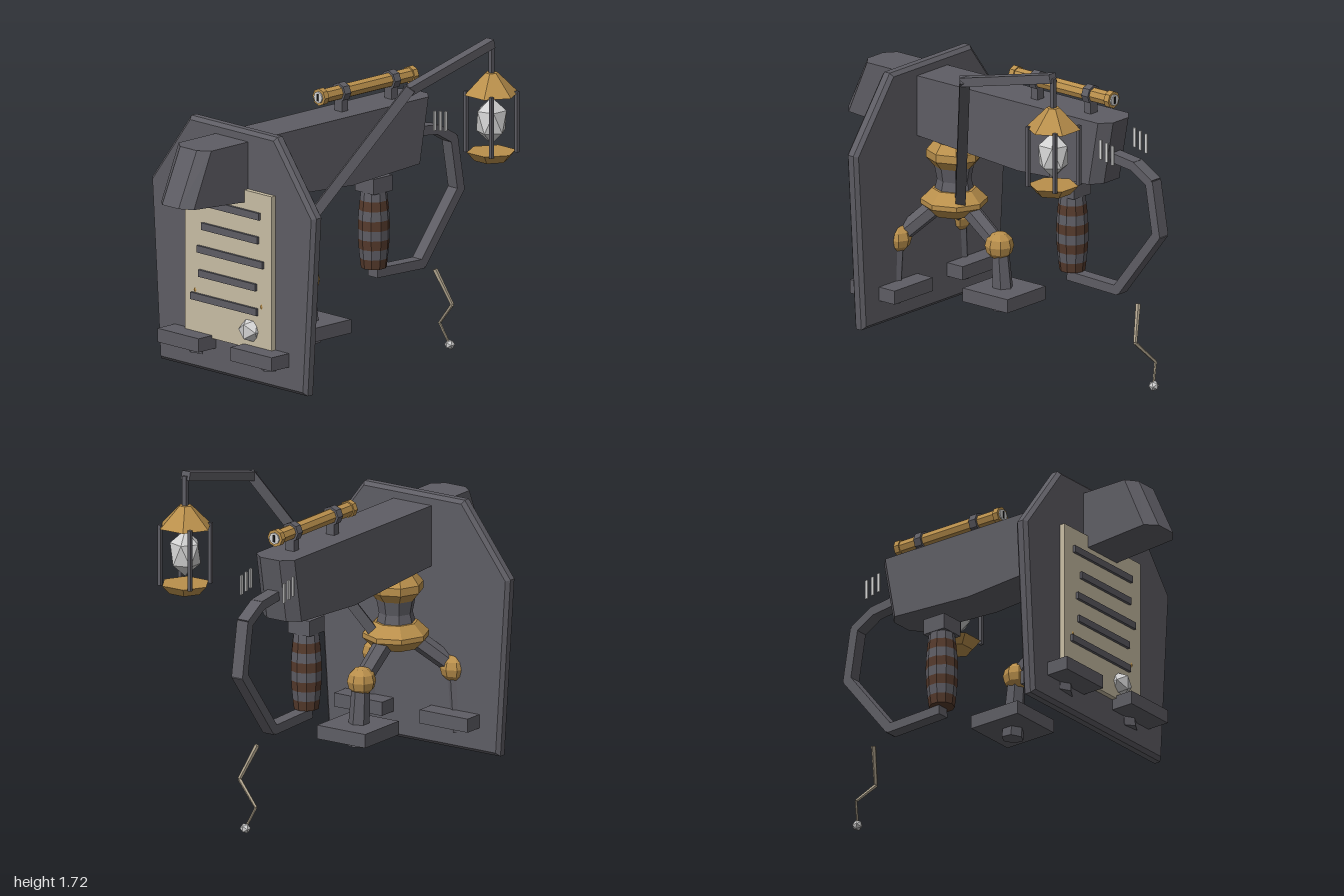
import * as THREE from 'three';

const mat = (name, color) => {
  const m = new THREE.MeshStandardMaterial({ color, flatShading: true });
  m.name = name;
  return m;
};

export function createModel() {
  const iron = mat('dark iron', 0x5e5d64);
  const brass = mat('brass', 0xba904c);
  const parchment = mat('parchment', 0xc8bda4);
  const crystal = mat('pale crystal', 0xd2d2d2);
  const leather = mat('brown leather', 0x553a2c);
  const bone = mat('bone', 0xb0a48e);
  const black = mat('black', 0x1c1c1e);

  const model = new THREE.Group();
  model.name = 'shieldedTurret';
  const CX = -0.037; // centre line of the weapon
  const V = (x, y, z) => new THREE.Vector3(x, y, z);

  const add = (name, geo, m, x = 0, y = 0, z = 0) => {
    const mesh = new THREE.Mesh(geo, m);
    mesh.name = name;
    mesh.position.set(x, y, z);
    model.add(mesh);
    return mesh;
  };
  const box = (name, m, w, h, d, x, y, z) => add(name, new THREE.BoxGeometry(w, h, d), m, x, y, z);

  // square beam between two points, extended a little to close the joints
  const beam = (name, a, b, w, h, m, extra = 0.01) => {
    const o = box(name, m, w, h, a.distanceTo(b) + extra * 2, 0, 0, 0);
    o.position.copy(a).lerp(b, 0.5);
    o.lookAt(b);
    return o;
  };
  // round strut between two points
  const strut = (name, a, b, ra, rb, sides, m) => {
    const o = add(name, new THREE.CylinderGeometry(rb, ra, a.distanceTo(b), sides), m);
    o.position.copy(a).lerp(b, 0.5);
    o.quaternion.setFromUnitVectors(V(0, 1, 0), b.clone().sub(a).normalize());
    return o;
  };
  const lathe = (pts, sides) =>
    new THREE.LatheGeometry(pts.map(p => new THREE.Vector2(p[0], p[1])), sides);

  // Shield: bevelled six-sided plate
  const shape = new THREE.Shape([[-0.555, 0.135], [0.48, 0.135], [0.54, 1.05], [0.265, 1.415],
    [-0.34, 1.415], [-0.615, 1.05]].map(p => new THREE.Vector2(p[0], p[1])));
  add('shield', new THREE.ExtrudeGeometry(shape, {
    depth: 0.034, bevelEnabled: true, bevelThickness: 0.018, bevelSize: 0.018,
    bevelOffset: -0.018, bevelSegments: 1,
  }), iron, 0, 0, 0.523);

  // Parchment with ruled bars and a seal
  box('parchmentSheet', parchment, 0.61, 0.8, 0.028, -0.035, 0.72, 0.587);
  [[-0.27, 0.19, 1.005], [-0.215, 0.18, 0.882], [-0.245, 0.215, 0.761],
    [-0.235, 0.165, 0.639], [-0.29, 0.175, 0.515]].forEach(([a, b, y]) =>
    box('parchmentBar', iron, b - a, 0.036, 0.02, (a + b) / 2, y, 0.605));
  add('seal', new THREE.IcosahedronGeometry(0.07, 0), crystal, 0.115, 0.41, 0.583);

  // Weapon body: stations of [zTop, zBottom, yBottom, halfWidth]
  const stations = [[0.875, 1.0, 1.085, 0.058], [0.83, 0.95, 1.081, 0.115],
    [-0.15, -0.15, 1.005, 0.115], [-0.67, -0.61, 1.03, 0.115], [-0.72, -0.66, 1.033, 0.058]];
  const verts = [];
  const quad = (a, b, c, d) => verts.push(...a, ...b, ...c, ...a, ...c, ...d);
  const rings = stations.map(([zt, zb, yb, w]) =>
    [[-w, yb, zb], [w, yb, zb], [w, 1.36, zt], [-w, 1.36, zt]]);
  for (let i = 0; i < rings.length - 1; i++)
    for (let k = 0; k < 4; k++) {
      const n = (k + 1) % 4;
      quad(rings[i][k], rings[i + 1][k], rings[i + 1][n], rings[i][n]);
    }
  quad(...rings[0]);
  quad(...rings[rings.length - 1].slice().reverse());
  const bodyGeo = new THREE.BufferGeometry();
  bodyGeo.setAttribute('position', new THREE.Float32BufferAttribute(verts, 3));
  bodyGeo.computeVertexNormals();
  add('weaponBody', bodyGeo, iron, CX);

  // Sighting scope with eye lenses and clamps
  const scopeY = 1.455;
  const alongZ = (r, len) => new THREE.CylinderGeometry(r, r, len, 8).rotateX(Math.PI / 2);
  add('scopeTube', alongZ(0.037, 0.63), brass, CX, scopeY, -0.35);
  [[-0.04, 1], [-0.66, -1]].forEach(([z, s]) => {
    add('scopeCollar', alongZ(0.044, 0.03), brass, CX, scopeY, z);
    add('scopeLens', alongZ(0.03, 0.008), crystal, CX, scopeY, z + s * 0.018);
    box('scopePupil', black, 0.011, 0.036, 0.004, CX, scopeY, z + s * 0.023);
  });
  [-0.18, -0.525].forEach(z => {
    add('scopeClamp', alongZ(0.049, 0.042), iron, CX, scopeY, z);
    box('scopePost', iron, 0.05, 0.09, 0.042, CX, 1.39, z);
  });

  // Pivot: two brass rings round an iron neck
  const hubZ = 0.363;
  add('upperRing', lathe([[0, 0.9], [0.1, 0.9], [0.138, 0.945], [0.138, 0.985], [0.1, 1.03], [0, 1.03]], 8),
    brass, CX, 0, hubZ);
  add('neck', lathe([[0.1, 0.77], [0.085, 0.83], [0.1, 0.91]], 8), iron, CX, 0, hubZ);
  add('lowerRing', lathe([[0, 0.655], [0.115, 0.655], [0.167, 0.705], [0.167, 0.73], [0.11, 0.785], [0, 0.785]], 8),
    brass, CX, 0, hubZ);

  // Tripod legs with brass knees and square feet
  [[0, -0.325], [0.258, 0.187], [-0.258, 0.187]].forEach(([dx, dz]) => {
    const at = (f, y) => V(CX + dx * f, y, hubZ + dz * f);
    const knee = at(0.905, 0.545);
    strut('upperLeg', at(0.15, 0.73), knee, 0.05, 0.045, 6, iron);
    add('knee', new THREE.SphereGeometry(0.073, 8, 6), brass, knee.x, knee.y, knee.z);
    strut('lowerLeg', at(1.0, 0.22), at(0.92, 0.53), 0.057, 0.045, 6, iron);
    box('foot', iron, 0.29, 0.07, 0.29, CX + dx, 0.3, hubZ + dz);
  });

  // Lantern arm
  const LX = 0.472, LZ = -0.718;
  const elbow = V(0.475, 1.565, -0.145), tip = V(LX, 1.7, LZ + 0.01);
  beam('lanternArmLower', V(0.02, 0.72, 0.275), elbow, 0.05, 0.05, iron, 0.015);
  beam('lanternArmUpper', elbow, tip, 0.05, 0.045, iron, 0.008);
  box('lanternHanger', iron, 0.022, 0.16, 0.022, LX, 1.62, LZ);

  // Lantern: hexagonal roof and base, four posts, glowing crystal
  const hex = (rt, rb, h) => new THREE.CylinderGeometry(rt, rb, h, 6).rotateY(Math.PI / 6);
  add('lanternRoof', hex(0.032, 0.138, 0.108), brass, LX, 1.496, LZ);
  add('lanternBase', hex(0.126, 0.085, 0.045), brass, LX, 1.127, LZ);
  for (const sx of [-1, 1]) for (const sz of [-1, 1])
    box('lanternPost', iron, 0.018, 0.31, 0.018, LX + sx * 0.09, 1.3, LZ + sz * 0.088);
  const gem = new THREE.IcosahedronGeometry(1, 0).rotateZ(Math.atan(2 / (1 + Math.sqrt(5))));
  add('lanternCrystal', gem.scale(0.085, 0.12, 0.085), crystal, LX, 1.305, LZ);

  // Banded grip below the weapon
  const gripZ = -0.405, bands = 8, y0 = 0.52, bandH = 0.0495;
  const gripR = t => 0.064 + 0.016 * Math.sin(Math.PI * t);
  for (let i = 0; i < bands; i++)
    add(i % 2 ? 'gripBand' : 'gripWrap',
      new THREE.CylinderGeometry(gripR((i + 1) / bands), gripR(i / bands), bandH, 10),
      i % 2 ? iron : leather, CX, y0 + bandH * (i + 0.5), gripZ);
  box('gripBlock', iron, 0.13, 0.08, 0.13, CX, 0.95, gripZ);

  // Rear guard bowing from the body round to the grip
  const guard = [[1.17, -0.66], [1.15, -0.82], [1.085, -0.93], [0.82, -0.975], [0.485, -0.715], [0.495, -0.405]]
    .map(([y, z]) => V(CX, y, z));
  for (let i = 0; i < guard.length - 1; i++)
    beam('rearGuard', guard[i], guard[i + 1], 0.066, 0.048, iron, 0.008);

  // Thin vent slats on either side of the tail
  for (const sx of [-1, 1])
    [-0.7, -0.738, -0.776].forEach((z, i) =>
      box('ventSlat', crystal, 0.008, 0.1, 0.016, CX + sx * 0.128, 1.235 - i * 0.008, z));

  // Hanging crooked charm with a small bead
  const charm = [V(-0.04, 0.43, -0.83), V(0.035, 0.255, -0.875), V(-0.085, 0.135, -0.905), V(-0.04, 0.03, -0.93)];
  for (let i = 0; i < 3; i++)
    strut('charmRod', charm[i], charm[i + 1], 0.013 - i * 0.003, 0.01 - i * 0.002, 5, bone);
  add('charmBead', new THREE.IcosahedronGeometry(0.027, 0), crystal, -0.04, 0.027, -0.932);

  return model;
}
